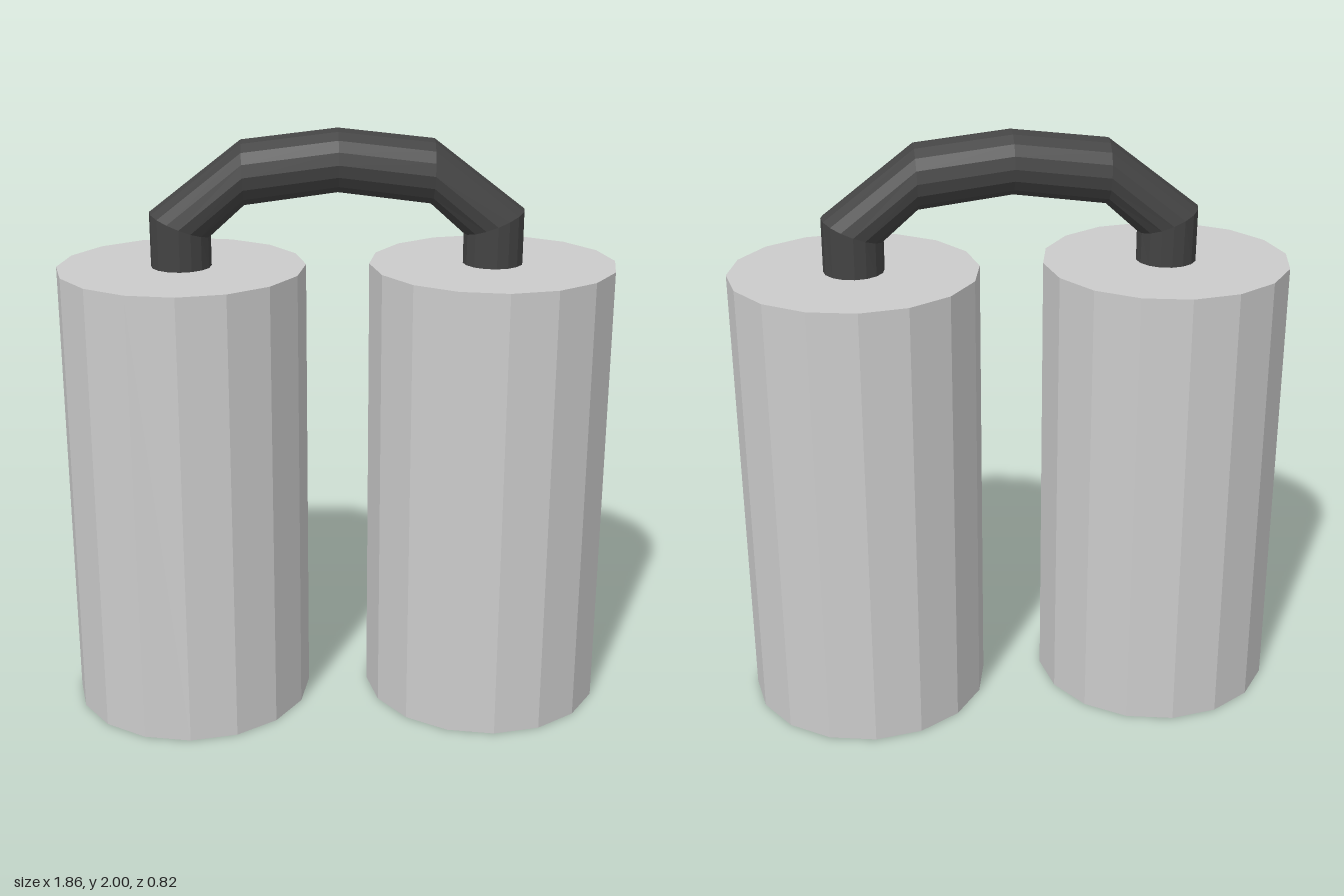
import * as THREE from 'three';

const SIDES = 16;

// Skin a tube through tilted rings: centre (x, y), outward half-vector (ux, uy), half-depth in z
function skinRings(rings) {
  const pos = [], index = [];
  for (const [x, y, ux, uy, d] of rings) {
    for (let j = 0; j < SIDES; j++) {
      const a = (j / SIDES) * Math.PI * 2;
      pos.push(x + ux * Math.cos(a), y + uy * Math.cos(a), d * Math.sin(a));
    }
  }
  for (let i = 0; i < rings.length - 1; i++) {
    for (let j = 0; j < SIDES; j++) {
      const a = i * SIDES + j, b = i * SIDES + (j + 1) % SIDES;
      index.push(a, b, a + SIDES, b, b + SIDES, a + SIDES);
    }
  }
  const geo = new THREE.BufferGeometry();
  geo.setAttribute('position', new THREE.Float32BufferAttribute(pos, 3));
  geo.setIndex(index);
  geo.computeVertexNormals();
  return geo;
}

export function createModel() {
  const group = new THREE.Group();
  const shellMat = new THREE.MeshStandardMaterial({ color: 0xcccccc, flatShading: true, side: THREE.DoubleSide });
  const handleMat = new THREE.MeshStandardMaterial({ color: 0x444444, flatShading: true, side: THREE.DoubleSide });

  // Two canisters: closed on top, open underneath
  const radius = 0.412, height = 1.55, offset = 0.517;
  const profile = [[radius, 0], [radius, height], [0, height]].map(p => new THREE.Vector2(...p));
  const canisterGeo = new THREE.LatheGeometry(profile, SIDES);
  for (const [name, side] of [['leftCanister', 1], ['rightCanister', -1]]) {
    const canister = new THREE.Mesh(canisterGeo, shellMat);
    canister.name = name;
    canister.position.x = side * offset;
    group.add(canister);
  }

  // Arched handle joining the canister tops, mirrored about x = 0
  const half = [
    [-offset, height, -0.1, 0, 0.1],
    [-offset, 1.69, -0.1, 0.04, 0.107],
    [-0.31, 1.857, -0.004, 0.107, 0.107],
  ];
  const mirrored = half.map(([x, y, ux, uy, d]) => [-x, y, -ux, uy, d]).reverse();
  const handle = new THREE.Mesh(skinRings([...half, [0, 1.895, 0, 0.105, 0.105], ...mirrored]), handleMat);
  handle.name = 'handle';
  group.add(handle);

  return group;
}
